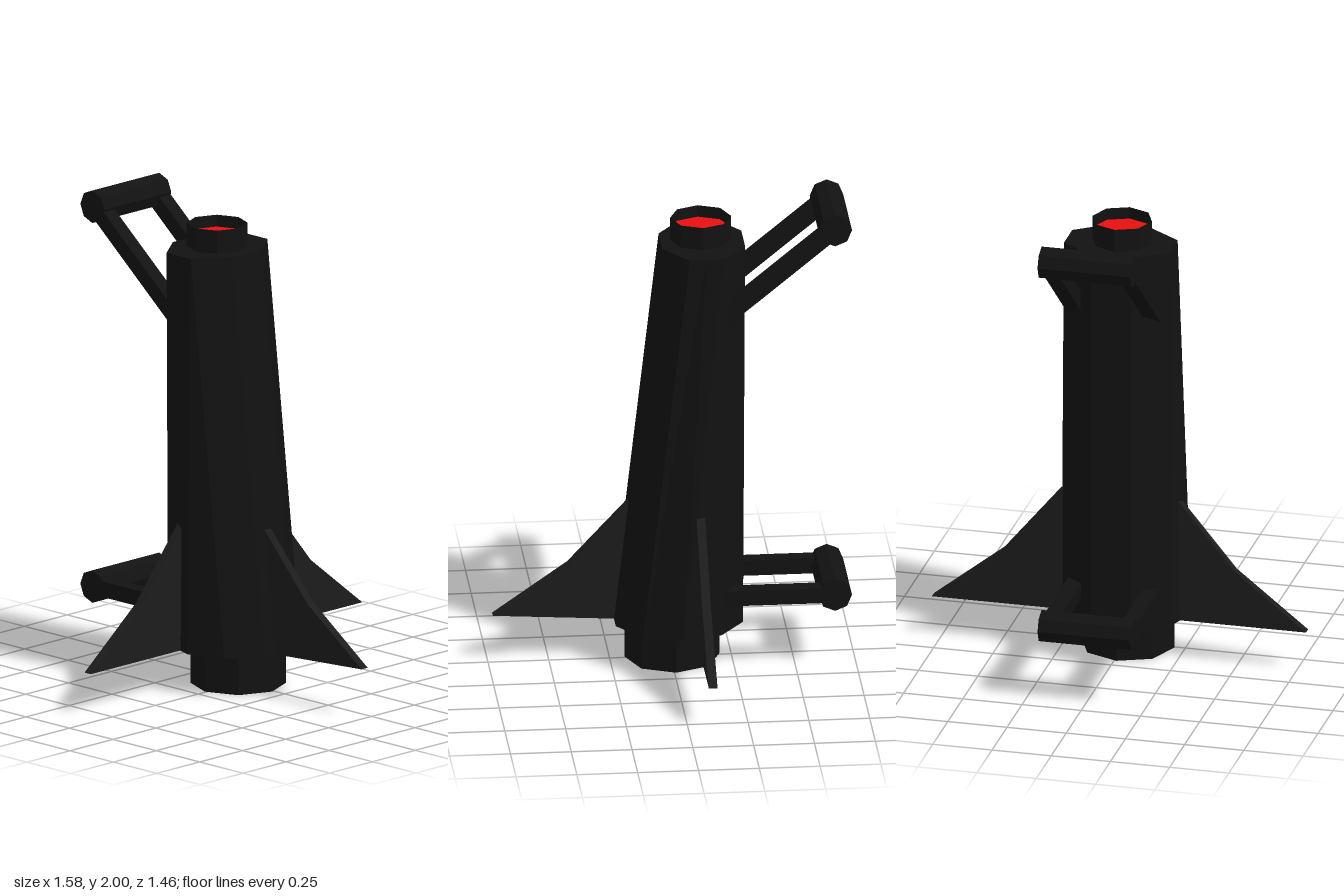
import * as THREE from 'three';

const black = new THREE.MeshStandardMaterial({ color: 0x121212, flatShading: true });
const blackOpen = new THREE.MeshStandardMaterial({ color: 0x121212, flatShading: true, side: THREE.DoubleSide });
const finBlack = new THREE.MeshStandardMaterial({ color: 0x1c1c1c, flatShading: true });
const red = new THREE.MeshStandardMaterial({ color: 0xe81010, flatShading: true, side: THREE.DoubleSide });

function add(parent, name, geometry, material, x = 0, y = 0, z = 0) {
  const mesh = new THREE.Mesh(geometry, material);
  mesh.name = name;
  mesh.position.set(x, y, z);
  parent.add(mesh);
  return mesh;
}

// Ten-sided body: straight back, front sloping back towards the top
function bodyGeometry() {
  const r = 0.275, h = 1.66;
  const g = new THREE.CylinderGeometry(r, r, h, 10, 1, false, Math.PI / 2);
  const p = g.attributes.position;
  for (let i = 0; i < p.count; i++) {
    if (p.getY(i) < 0) continue;
    const x = p.getX(i), z = p.getZ(i);
    const depth = Math.abs(z) > 0.2 ? 0.17 : Math.abs(z) > 0.1 ? 0.07 : 0;
    p.setX(i, THREE.MathUtils.clamp(x, -0.2225, 0.2225));
    p.setZ(i, Math.sign(z) * depth - 0.1);
  }
  g.computeVertexNormals();
  return g;
}

// Open eight-sided tube with a recessed red disc
function addTube(parent, name, r, y0, y1, discY, x, z, facing) {
  const group = new THREE.Group();
  group.name = name;
  group.position.set(x, 0, z);
  add(group, name + 'Wall', new THREE.CylinderGeometry(r, r, y1 - y0, 8, 1, true), blackOpen, 0, (y0 + y1) / 2, 0);
  const disc = add(group, name + 'Disc', new THREE.CircleGeometry(r * 0.995, 8), red, 0, discY, 0);
  disc.rotation.x = -facing * Math.PI / 2;
  parent.add(group);
}

// Fin plate from a profile of [outward, up] points, centred on its thickness
function finGeometry(points, thickness) {
  const shape = new THREE.Shape(points.map(([u, v]) => new THREE.Vector2(u, v)));
  const g = new THREE.ExtrudeGeometry(shape, { depth: thickness, bevelEnabled: false });
  return g.translate(0, 0, -thickness / 2);
}

// Handle: two struts from the body to a crossbar
function addHandle(parent, name, startY, barY) {
  const group = new THREE.Group();
  group.name = name;
  const startZ = -0.19, barZ = -0.66;
  const dy = barY - startY, dz = barZ - startZ;
  for (const [side, x] of [['left', 0.158], ['right', -0.168]]) {
    const strut = add(group, side + 'Strut', new THREE.BoxGeometry(0.065, 0.066, Math.hypot(dy, dz)),
      black, x, (startY + barY) / 2, (startZ + barZ) / 2);
    strut.rotation.x = Math.atan2(dy, -dz);
  }
  const bar = new THREE.CylinderGeometry(0.069, 0.069, 0.39, 8).rotateZ(Math.PI / 2);
  add(group, 'crossbar', bar, black, -0.005, barY, barZ);
  parent.add(group);
}

export function createModel() {
  const model = new THREE.Group();
  model.name = 'finnedCylinder';

  add(model, 'body', bodyGeometry(), black, -0.01, 1.0, -0.03);
  addTube(model, 'topCap', 0.125, 1.832, 1.93, 1.88, -0.015, -0.125, 1);
  addTube(model, 'bottomNozzle', 0.195, 0, 0.168, 0.07, -0.01, -0.007, -1);

  // Side fins
  const sideProfile = [[0.15, 0.172], [0.79, 0.172], [0.49, 0.41], [0.25, 0.70], [0.15, 0.715]];
  const sideFin = finGeometry(sideProfile, 0.036);
  add(model, 'leftFin', sideFin, finBlack, 0, 0, -0.103);
  add(model, 'rightFin', sideFin, finBlack, 0, 0, -0.103).rotation.y = Math.PI;

  // Front fin
  const frontProfile = [[0.1, 0.175], [0.23, 0.172], [0.73, 0.203], [0.42, 0.42], [0.17, 0.69], [0.1, 0.69]];
  add(model, 'frontFin', finGeometry(frontProfile, 0.036), finBlack, -0.02, 0, 0).rotation.y = -Math.PI / 2;

  addHandle(model, 'upperHandle', 1.545, 1.931);
  addHandle(model, 'lowerHandle', 0.32, 0.32);

  return model;
}
